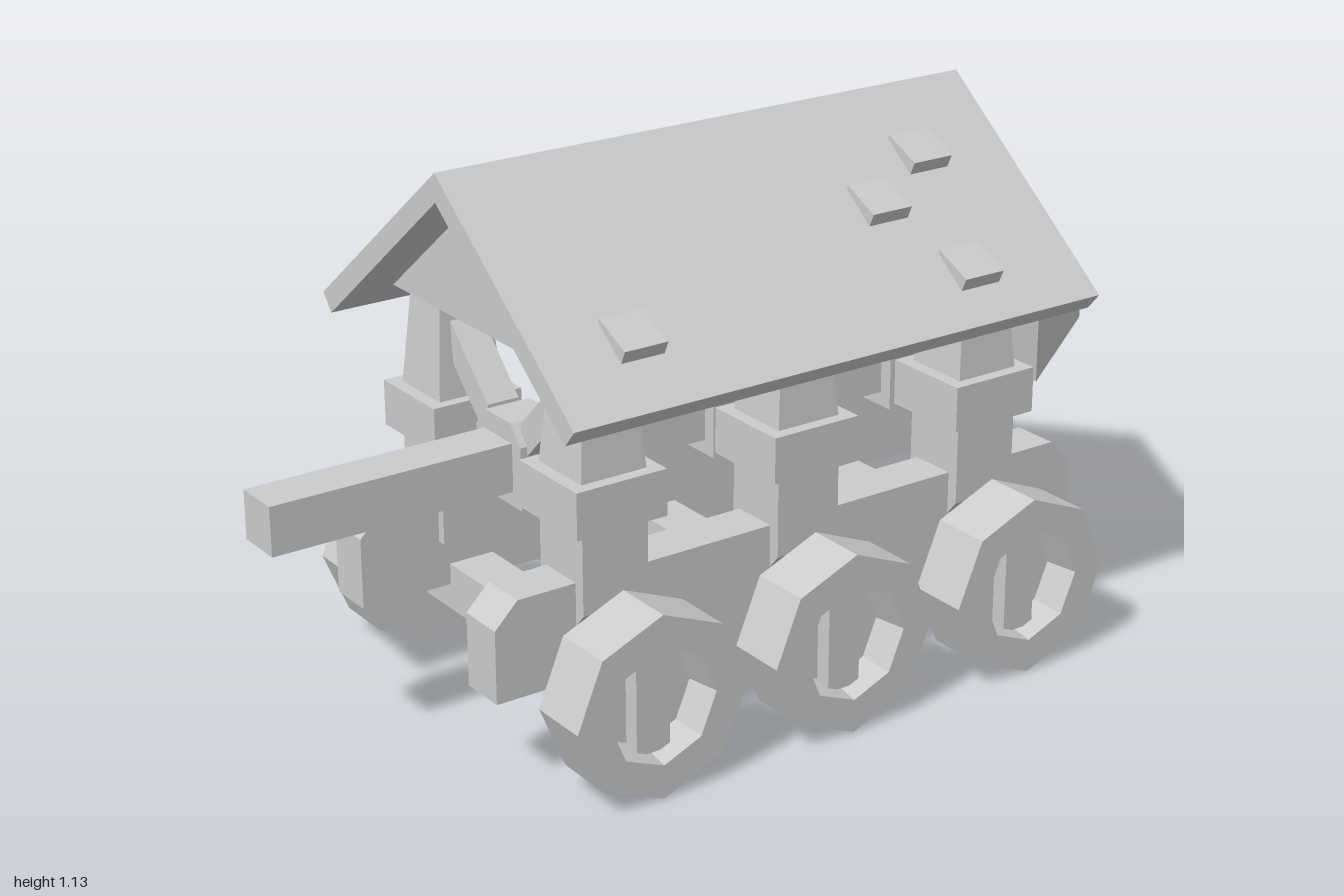
import * as THREE from 'three';

const mat = new THREE.MeshStandardMaterial({ color: 0xcccccc, flatShading: true });

export function createModel() {
  const root = new THREE.Group();

  const add = (name, geometry, x = 0, y = 0, z = 0) => {
    const mesh = new THREE.Mesh(geometry, mat);
    mesh.name = name;
    mesh.position.set(x, y, z);
    root.add(mesh);
    return mesh;
  };
  const box = (name, w, h, d, x, y, z) => add(name, new THREE.BoxGeometry(w, h, d), x, y, z);
  const shapeOf = (pts) => new THREE.Shape(pts.map(([a, b]) => new THREE.Vector2(a, b)));
  const extrude = (pts, depth) => new THREE.ExtrudeGeometry(shapeOf(pts), { depth, bevelEnabled: false })
    .translate(0, 0, -depth / 2);
  // Profile in (z, y), extruded along x and centred on it
  const extrudeX = (pts, width) => extrude(pts, width).rotateY(-Math.PI / 2);
  const lathe = (pts, sides) => new THREE.LatheGeometry(pts.map(([r, y]) => new THREE.Vector2(r, y)), sides);
  const mirrored = (pts, s) => pts.map(([z, y]) => [z * s, y]);

  const stations = [-0.435, 0.015, 0.465];

  // Chamfered side beams of the chassis
  const beam = [[-0.685, 0.2], [0.72, 0.2], [0.72, 0.35], [0.67, 0.4], [-0.635, 0.4], [-0.685, 0.35]];
  for (const s of [1, -1]) add('sideBeam', extrude(beam, 0.1), 0, 0, s * 0.25);

  // Octagonal wheel with a tapered recess on its outer face
  const wheel = lathe([[0, 0], [0.19, 0], [0.19, 0.13], [0.12, 0.13], [0.107, 0.06], [0, 0.06]], 8)
    .rotateX(Math.PI / 2);
  const postProfile = [[0.18, 0.3], [0.29, 0.3], [0.325, 0.34], [0.325, 0.53], [0.18, 0.53]];
  const postTop = new THREE.CylinderGeometry(0.055 * Math.SQRT2, 0.073 * Math.SQRT2, 0.21, 4)
    .rotateY(Math.PI / 4);
  const brace = [[0.2, 0.77], [0.06, 0.63], [0.06, 0.55], [0.2, 0.69]];

  for (const x of stations) {
    box('axle', 0.1, 0.1, 0.72, x, 0.195, 0);

    // Chamfered cradle that holds the ram
    add('ramCradle', extrudeX([[-0.08, 0.46], [0.08, 0.46], [0.08, 0.59], [0.045, 0.63],
      [-0.045, 0.63], [-0.08, 0.59]], 0.1), x);

    for (const s of [1, -1]) {
      add('wheel', wheel, x, 0.195, s * 0.35).rotation.y = s > 0 ? 0 : Math.PI;
      box('wheelPlank', 0.075, 0.215, 0.04, x, 0.195, s * 0.425);
      add('lowerPost', extrudeX(mirrored(postProfile, s), 0.146), x);
      box('postCollar', 0.2, 0.095, 0.195, x, 0.5575, s * 0.2525);
      add('upperPost', postTop, x, 0.7, s * 0.2515);
      add('brace', extrudeX(mirrored(brace, s), 0.07), x);
    }
  }

  // Ram: shaft, collar and pointed square head
  box('ramShaft', 1.63, 0.1, 0.1, -0.185, 0.54, 0);
  box('ramCollar', 0.095, 0.145, 0.145, 0.6625, 0.538, 0);
  const r = Math.SQRT2;
  add('ramHead', lathe([[0, 0.7], [0.05 * r, 0.7], [0.098 * r, 0.805], [0.016 * r, 1], [0, 1]], 4)
    .rotateY(Math.PI / 4).rotateZ(-Math.PI / 2), 0, 0.538, 0);

  // Roof shell and the gable block beneath it
  add('roof', extrudeX([[0, 1.135], [-0.455, 0.775], [-0.425, 0.74], [0, 1.078],
    [0.425, 0.74], [0.455, 0.775]], 1.24), 0.015);
  add('gable', extrudeX([[-0.352, 0.8], [0.352, 0.8], [0, 1.08]], 1.04), 0.015);

  // Loose shingles, tilted a little flatter than the roof: [x, z]
  const shingles = [[-0.4, 0.335], [0.265, 0.21], [0.425, 0.137], [0.38, 0.355],
    [-0.375, -0.315], [-0.23, -0.135], [0.29, -0.195], [0.45, -0.13]];
  for (const [x, z] of shingles) {
    const y = 1.139 - Math.abs(z) * 0.79;
    box('shingle', 0.095, 0.03, 0.09, x, y, z).rotation.x = Math.sign(z) * 0.44;
  }

  return root;
}
